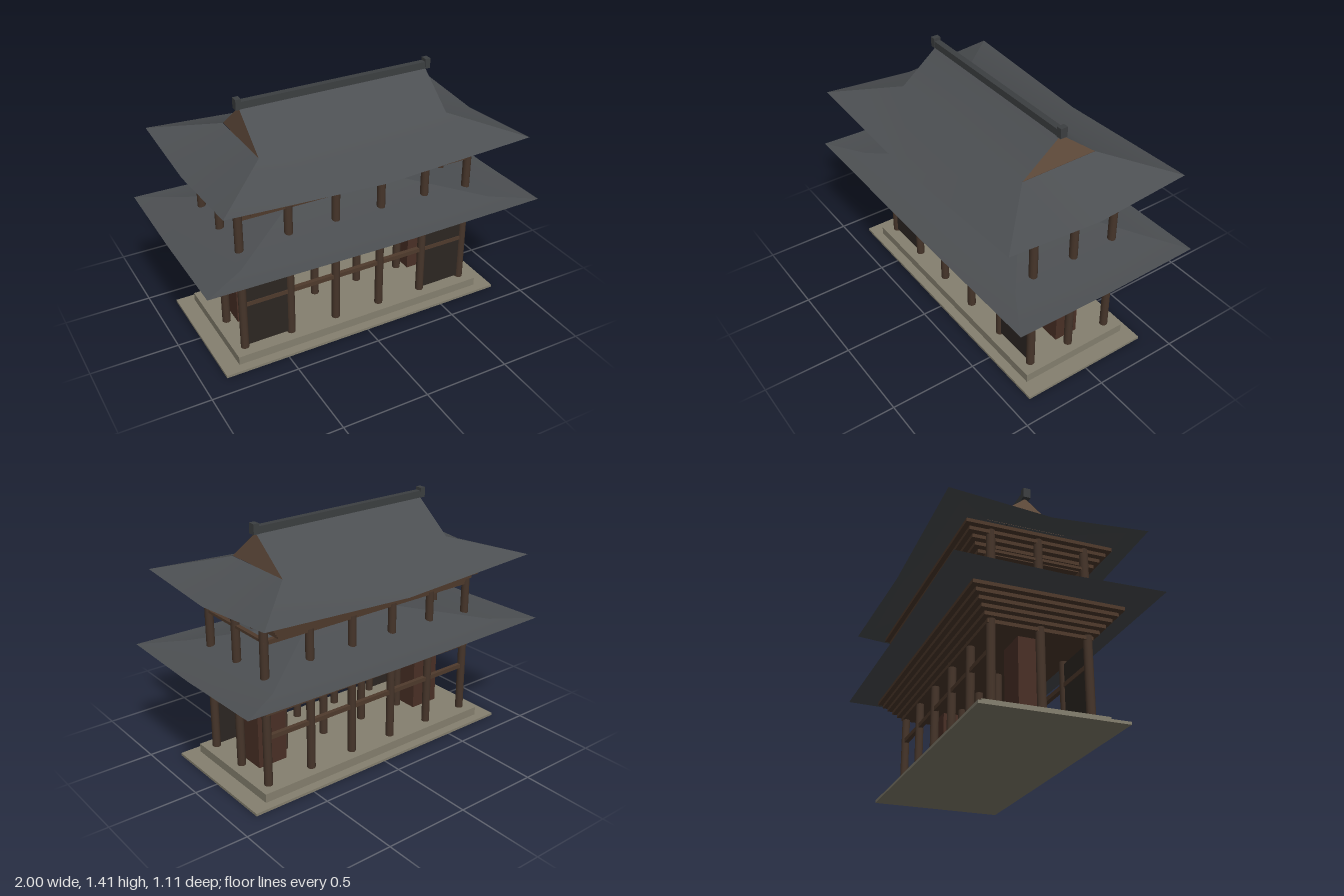
import * as THREE from 'three';

const mat = (color, extra = {}) => new THREE.MeshStandardMaterial({ color, roughness: 0.85, ...extra });
const tile = mat(0x4c4f52, { side: THREE.DoubleSide });
const ridgeTile = mat(0x3c3f41);
const wood = mat(0x4f3a2c);
const darkWood = mat(0x46352a);
const plaster = mat(0x6b5443, { side: THREE.DoubleSide });
const stone = mat(0x85806f);
const lattice = mat(0x2c2622);
const redWood = mat(0x4a3026);

function add(parent, name, geometry, material, x = 0, y = 0, z = 0) {
  const mesh = new THREE.Mesh(geometry, material);
  mesh.name = name;
  mesh.position.set(x, y, z);
  parent.add(mesh);
  return mesh;
}

// Box given by its bottom and top heights
const box = (parent, name, material, w, y0, y1, d, x = 0, z = 0) =>
  add(parent, name, new THREE.BoxGeometry(w, y1 - y0, d), material, x, (y0 + y1) / 2, z);

// Roof slope facing +z: rows of [half width, height, distance], with an eave that sags in the middle
function slope(rows, sagY) {
  const points = [];
  rows.forEach(([half, y, dist], i) => {
    points.push(-half, y, dist);
    if (i === 0) points.push(0, sagY, dist);
    points.push(half, y, dist);
  });
  const index = [0, 1, 3, 1, 2, 4, 1, 4, 3];
  for (let i = 3; i + 3 < points.length / 3; i += 2) {
    index.push(i, i + 1, i + 3, i, i + 3, i + 2);
  }
  const geometry = new THREE.BufferGeometry();
  geometry.setAttribute('position', new THREE.Float32BufferAttribute(points, 3));
  geometry.setIndex(index);
  geometry.computeVertexNormals();
  return geometry;
}

// Two long slopes and two end slopes
function hipRoof(parent, name, longRows, endRows, sagY) {
  for (let i = 0; i < 4; i++) {
    const rows = i % 2 ? endRows : longRows;
    add(parent, name + 'Slope', slope(rows, sagY), tile).rotation.y = i * Math.PI / 2;
  }
}

// Ridge beam with a raised block at each end
function ridge(parent, half, y0, y1, yEnd, depth, block) {
  box(parent, 'ridge', ridgeTile, half * 2, y0, y1, depth);
  for (const s of [-1, 1]) {
    box(parent, 'ridgeEnd', ridgeTile, block, y0, yEnd, depth + 0.006, s * (half - block / 2 + 0.003));
  }
}

// Stack of bracket layers stepping outwards as they rise
function brackets(parent, count, topY, halfX, halfZ) {
  for (let i = 0; i < count; i++) {
    const y = topY - i * 0.0262;
    box(parent, 'bracketLayer', wood, 2 * (halfX - i * 0.0245), y - 0.02, y, 2 * (halfZ - i * 0.0242));
  }
}

export function createModel() {
  const gate = new THREE.Group();
  gate.name = 'gate';

  // Stepped stone base
  box(gate, 'baseSlab', stone, 1.735, 0, 0.015, 0.77);
  box(gate, 'basePlatform', stone, 1.545, 0.015, 0.065, 0.665);

  // Columns run through both storeys
  const column = new THREE.CylinderGeometry(0.0235, 0.0235, 0.965, 12);
  for (const x of [-0.705, -0.423, -0.141, 0.141, 0.423, 0.705]) {
    for (const z of [-0.26, 0, 0.26]) add(gate, 'column', column, darkWood, x, 0.5475, z);
  }

  // Tie beams
  for (const z of [-0.26, 0.26]) {
    box(gate, 'lowerTieBeam', wood, 1.41, 0.335, 0.36, 0.025, 0, z);
    box(gate, 'upperTieBeam', wood, 1.41, 0.872, 0.897, 0.025, 0, z);
  }
  for (const x of [-0.705, 0.705]) box(gate, 'endTieBeam', wood, 0.025, 0.885, 0.9, 0.56, x);

  // Side bays: front screens and the plinth boxes behind them
  for (const x of [-0.564, 0.564]) {
    box(gate, 'screenPanel', lattice, 0.25, 0.078, 0.465, 0.016, x, 0.26);
    box(gate, 'innerBox', redWood, 0.18, 0.065, 0.473, 0.142, x, -0.026);
  }

  // Bracket stacks
  brackets(gate, 6, 0.635, 0.845, 0.405);
  brackets(gate, 5, 1.03, 0.75, 0.405);

  // Lower roof
  const lowerRoof = new THREE.Group();
  lowerRoof.name = 'lowerRoof';
  gate.add(lowerRoof);
  hipRoof(lowerRoof, 'lowerRoof',
    [[1, 0.672, 0.555], [0.76, 0.68, 0.41], [0.24, 0.782, 0]],
    [[0.555, 0.672, 1], [0.41, 0.68, 0.76], [0, 0.782, 0.24]], 0.66);
  ridge(lowerRoof, 0.24, 0.78, 0.802, 0.82, 0.024, 0.026);

  // Upper hip-and-gable roof
  const upperRoof = new THREE.Group();
  upperRoof.name = 'upperRoof';
  gate.add(upperRoof);
  hipRoof(upperRoof, 'upperRoof',
    [[0.89, 1.085, 0.55], [0.56, 1.175, 0.23], [0.56, 1.36, 0]],
    [[0.55, 1.085, 0.89], [0.23, 1.175, 0.56]], 1.04);
  ridge(upperRoof, 0.58, 1.355, 1.395, 1.412, 0.036, 0.032);

  // Gable walls
  const triangle = new THREE.Shape([
    new THREE.Vector2(-0.23, 1.175), new THREE.Vector2(0.23, 1.175), new THREE.Vector2(0, 1.36)]);
  for (const s of [-1, 1]) {
    add(upperRoof, 'gable', new THREE.ShapeGeometry(triangle), plaster, s * 0.558).rotation.y = s * Math.PI / 2;
  }
  return gate;
}
